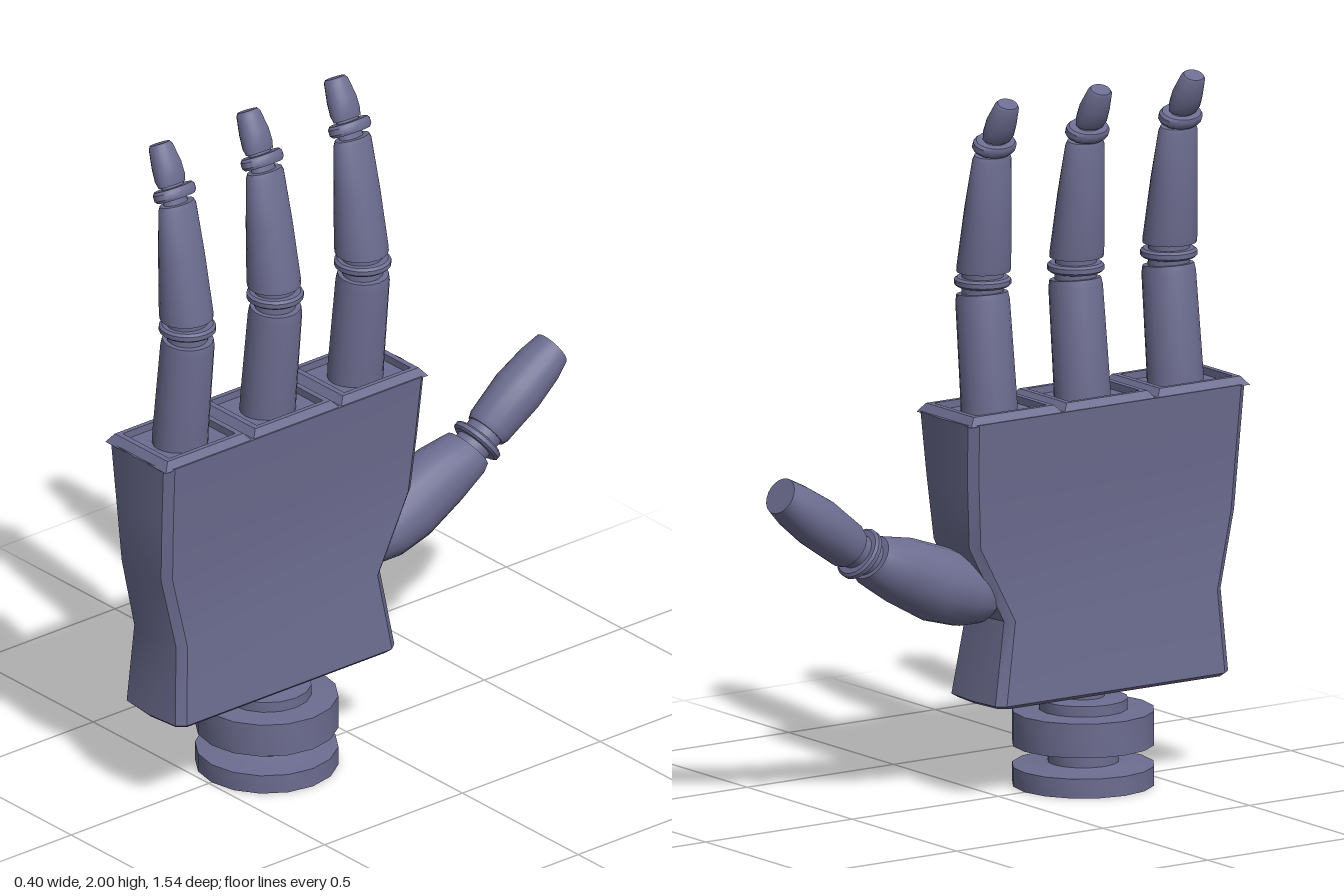
import * as THREE from 'three';
import { toCreasedNormals } from 'three/addons/utils/BufferGeometryUtils.js';

const V = (x, y, z) => new THREE.Vector3(x, y, z);
const X = V(1, 0, 0), Y = V(0, 1, 0), Z = V(0, 0, 1);

// Skin over a stack of rings with equal point counts, closed by fans at both ends
function loft(rings, crease = 0.6) {
  const n = rings[0].length, pos = [];
  const tri = (...p) => p.forEach(v => pos.push(v.x, v.y, v.z));
  const mid = r => r.reduce((s, v) => s.add(v), V(0, 0, 0)).divideScalar(n);
  const first = rings[0], last = rings[rings.length - 1];
  const c0 = mid(first), c1 = mid(last);
  for (let j = 0; j < n; j++) {
    const k = (j + 1) % n;
    for (let i = 0; i < rings.length - 1; i++) {
      const a = rings[i], b = rings[i + 1];
      tri(a[j], a[k], b[k]);
      tri(a[j], b[k], b[j]);
    }
    tri(c0, first[k], first[j]);
    tri(c1, last[j], last[k]);
  }
  const g = new THREE.BufferGeometry();
  g.setAttribute('position', new THREE.Float32BufferAttribute(pos, 3));
  return toCreasedNormals(g, crease);
}

// Elliptical limb bending in one plane; rows: [along axis, height, tilt, in-plane radius, side radius]
function limb(rows, axis, side) {
  return loft(rows.map(([h, y, t, r, s]) => {
    const c = axis.clone().multiplyScalar(h).addScaledVector(Y, y);
    const d = axis.clone().multiplyScalar(Math.sin(t)).addScaledVector(Y, Math.cos(t));
    const v = d.cross(side);
    return Array.from({ length: 20 }, (_, i) => {
      const a = i / 20 * Math.PI * 2;
      return c.clone().addScaledVector(side, s * Math.cos(a)).addScaledVector(v, r * Math.sin(a));
    });
  }));
}

// Rounded disc around a joint
function disc(h, y, t, r, s, thick) {
  const at = (k, q) => [h + Math.sin(t) * thick * k, y + Math.cos(t) * thick * k, t, r * q, s * q];
  return [at(-0.5, 0.9), at(-0.25, 1), at(0.25, 1), at(0.5, 0.9)];
}

export function createModel() {
  const group = new THREE.Group();
  const metal = new THREE.MeshStandardMaterial({ name: 'slate violet', color: 0x6c6c90 });
  const add = (name, geometry, parent = group) => {
    const m = new THREE.Mesh(geometry, metal);
    m.name = name;
    parent.add(m);
    return m;
  };

  // Stepped round wrist mount
  const wrist = [[0, 0], [0.2, 0], [0.2, 0.055], [0.12, 0.06], [0.1, 0.065], [0.1, 0.1], [0.12, 0.112],
    [0.2, 0.115], [0.2, 0.212], [0.125, 0.215], [0.125, 0.245], [0.06, 0.25], [0.06, 0.3]];
  add('wristMount', toCreasedNormals(
    new THREE.LatheGeometry(wrist.map(p => new THREE.Vector2(...p)), 16), 0.6)).position.z = 0.29;

  // Palm: y, half thickness, back z, front z
  const palm = [[0.275, 0.115, -0.07, 0.7], [0.285, 0.125, -0.085, 0.71], [0.52, 0.11, -0.045, 0.695],
    [0.74, 0.105, -0.16, 0.745], [0.92, 0.118, -0.175, 0.753], [1.1, 0.133, -0.185, 0.76]];
  add('palm', loft(palm.map(([y, w, a, b]) => {
    const half = [[0, b + 0.01], [w - 0.02, b], [w, b - 0.025], [w, a + 0.025], [w - 0.02, a]];
    return [...half.map(([x, z]) => V(x, y, z)), V(0, y, a - 0.01),
      ...half.slice(1).reverse().map(([x, z]) => V(-x, y, z))];
  })));

  // Chamfered socket frame that a finger stands in
  const rect = (w, h, T) => new T([[-w, -h], [w, -h], [w, h], [-w, h]].map(p => new THREE.Vector2(...p)));
  const frameShape = rect(0.131, 0.158, THREE.Shape);
  frameShape.holes.push(rect(0.1, 0.12, THREE.Path));
  const frame = new THREE.ExtrudeGeometry(frameShape, { depth: 0.025, bevelEnabled: false });
  const p = frame.attributes.position;
  for (let i = 0; i < p.count; i++) {
    if (p.getZ(i) > 0.01 && Math.abs(p.getX(i)) > 0.11) {
      p.setX(i, p.getX(i) * 0.87);
      p.setY(i, p.getY(i) * 0.87);
    }
  }
  frame.rotateX(-Math.PI / 2);
  frame.computeVertexNormals();

  // Three identical fingers
  const fingerParts = {
    lowerSegment: [[0.003, 1.06, 0.1, 0.075, 0.081], [0.006, 1.13, 0.1, 0.075, 0.081],
      [0.036, 1.41, 0.1, 0.074, 0.077], [0.038, 1.432, 0.1, 0.07, 0.073]],
    middleJoint: [[0.036, 1.42, 0, 0.055, 0.06], [0.035, 1.51, 0, 0.055, 0.06]],
    middleCollar: disc(0.036, 1.465, 0, 0.08, 0.08, 0.026),
    middleSegment: [[0.032, 1.495, 0, 0.073, 0.077], [0.03, 1.51, 0, 0.074, 0.077],
      [0.01, 1.68, -0.1, 0.057, 0.07], [-0.008, 1.82, -0.2, 0.038, 0.062], [-0.01, 1.834, -0.2, 0.034, 0.056]],
    upperJoint: [[-0.01, 1.82, -0.3, 0.024, 0.04], [-0.035, 1.895, -0.44, 0.022, 0.036]],
    upperCollar: disc(-0.02, 1.862, -0.44, 0.046, 0.068, 0.032),
    fingertip: [[-0.031, 1.882, -0.44, 0.028, 0.044], [-0.04, 1.9, -0.44, 0.035, 0.048],
      [-0.055, 1.935, -0.44, 0.038, 0.045], [-0.08, 1.983, -0.44, 0.031, 0.036], [-0.084, 1.99, -0.44, 0.026, 0.03]],
  };
  for (const z of [-0.028, 0.29, 0.608]) {
    add('fingerSocket', frame).position.set(0, 1.096, z);
    const finger = new THREE.Group();
    finger.name = 'finger';
    finger.position.z = z;
    for (const [name, rows] of Object.entries(fingerParts)) add(name, limb(rows, X, Z), finger);
    group.add(finger);
  }

  // Thumb reaching out from the back edge of the palm
  const thumbParts = {
    thumbBase: [[0.02, 0.58, 1.2, 0.05, 0.06], [0.06, 0.58, 1.2, 0.08, 0.09], [0.12, 0.6, 1.2, 0.1, 0.102],
      [0.22, 0.635, 1.2, 0.107, 0.1], [0.34, 0.69, 1.1, 0.095, 0.09], [0.42, 0.725, 0.97, 0.077, 0.08],
      [0.44, 0.738, 0.93, 0.068, 0.072]],
    thumbJoint: [[0.43, 0.725, 0.93, 0.052, 0.055], [0.53, 0.79, 0.93, 0.052, 0.055]],
    thumbCollar: disc(0.474, 0.752, 0.93, 0.077, 0.077, 0.024),
    thumbTip: [[0.505, 0.772, 0.93, 0.06, 0.06], [0.52, 0.784, 0.93, 0.067, 0.067], [0.62, 0.86, 0.95, 0.073, 0.075],
      [0.7, 0.918, 0.99, 0.064, 0.069], [0.745, 0.952, 1.05, 0.053, 0.057]],
  };
  const thumb = new THREE.Group();
  thumb.name = 'thumb';
  for (const [name, rows] of Object.entries(thumbParts)) add(name, limb(rows, V(0, 0, -1), X), thumb);
  group.add(thumb);

  return group;
}
